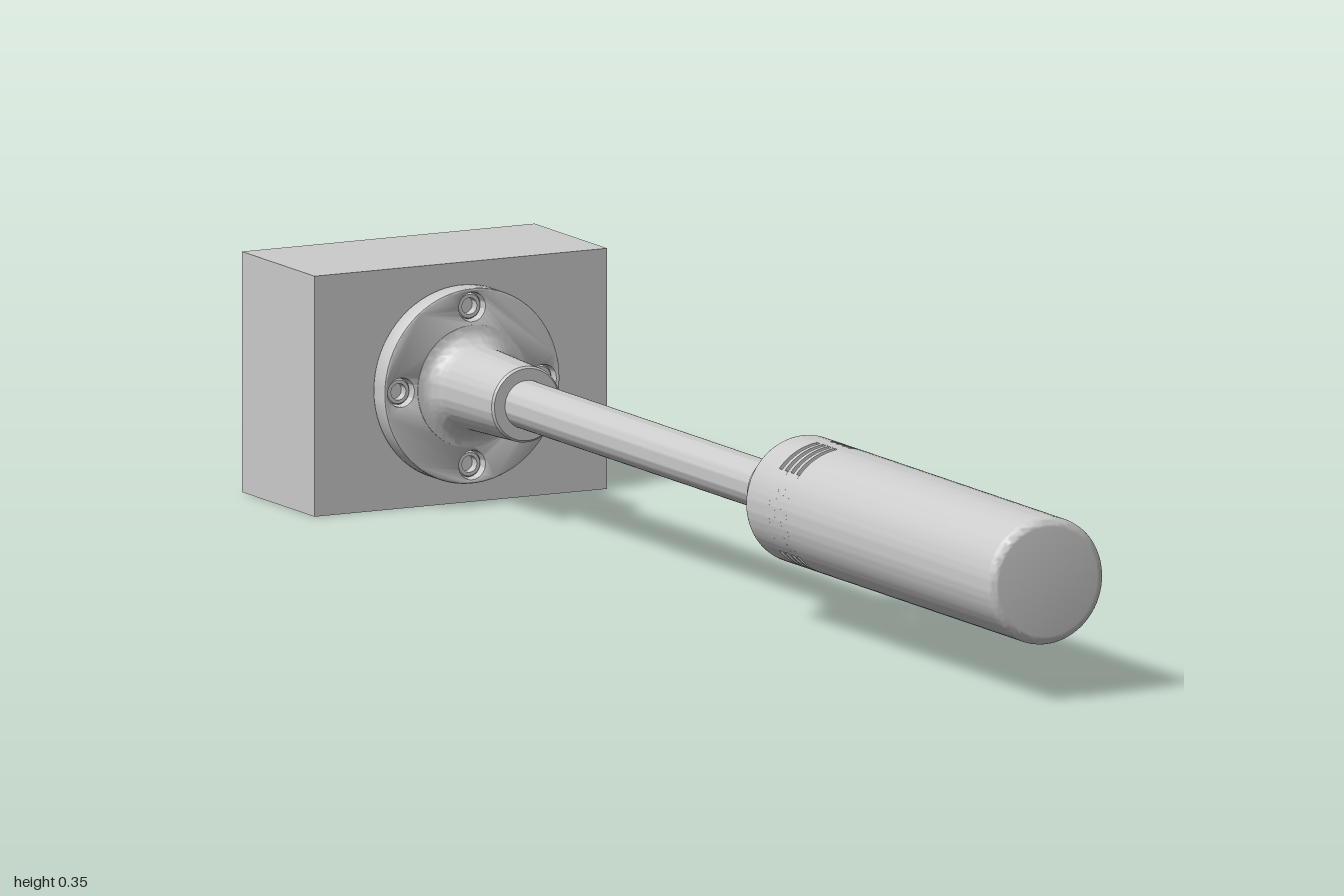
import * as THREE from 'three';
import { toCreasedNormals } from 'three/addons/utils/BufferGeometryUtils.js';

const material = new THREE.MeshStandardMaterial({ color: 0xcccccc });
const AXIS_Y = 0.174, R = 0.092, INNER = 0.08;
const rad = THREE.MathUtils.degToRad;

export function createModel() {
  const model = new THREE.Group();
  model.name = 'mallet';
  const axis = new THREE.Group();
  axis.name = 'handleAssembly';
  axis.position.y = AXIS_Y;
  model.add(axis);

  function add(name, geometry, parent = axis) {
    const mesh = new THREE.Mesh(geometry, material);
    mesh.name = name;
    parent.add(mesh);
    return mesh;
  }

  // Turned part about the z axis; profile points are [radius, z]
  function turned(name, points, segments = 96) {
    const profile = points.map(([r, z]) => new THREE.Vector2(r, z));
    const geometry = new THREE.LatheGeometry(profile, segments).rotateX(Math.PI / 2);
    return add(name, toCreasedNormals(geometry, rad(32)));
  }

  // Quarter-circle of profile points from angle a0 to a1 in degrees
  function arc(r, z, radius, a0, a1, n = 6) {
    return Array.from({ length: n + 1 }, (_, i) => {
      const a = rad(a0 + (a1 - a0) * i / n);
      return [r + radius * Math.cos(a), z + radius * Math.sin(a)];
    });
  }

  // Curved strip of the grip shell between two angles
  function shellStrip(name, a0, a1, z0, z1) {
    const shape = new THREE.Shape();
    shape.absarc(0, 0, R, rad(a0), rad(a1), false);
    shape.absarc(0, 0, INNER, rad(a1), rad(a0), true);
    const geometry = new THREE.ExtrudeGeometry(shape, { depth: z1 - z0, bevelEnabled: false, curveSegments: 24 });
    add(name, toCreasedNormals(geometry.translate(0, 0, z0), rad(32)));
  }

  // Block head
  const head = add('head', new THREE.BoxGeometry(0.47, 0.347, 0.22), model);
  head.position.set(0, 0.1735, -0.89);

  // Round flange with four counterbored screw holes
  const flange = new THREE.Shape();
  flange.absarc(0, 0, 0.138, 0, Math.PI * 2, false);
  const screwCentres = [0, 1, 2, 3].map(i => [0.114 * Math.cos(i * Math.PI / 2), 0.114 * Math.sin(i * Math.PI / 2)]);
  for (const [x, y] of screwCentres) {
    const hole = new THREE.Path();
    hole.absarc(x, y, 0.0235, 0, Math.PI * 2, true);
    flange.holes.push(hole);
  }
  const flangeGeometry = new THREE.ExtrudeGeometry(flange, {
    depth: 0.029, bevelThickness: 0.003, bevelSize: 0.003, bevelSegments: 2, curveSegments: 48
  }).translate(0, 0, -0.777);
  add('flange', toCreasedNormals(flangeGeometry, rad(32)));

  // Socket screws sunk in the flange
  for (const [x, y] of screwCentres) {
    const screw = turned('screw', [
      [0, -0.78], [0.019, -0.78], [0.019, -0.757], [0.017, -0.754],
      [0.012, -0.754], [0.012, -0.768], [0, -0.768]
    ], 32);
    screw.position.set(x, y, 0);
  }

  // Neck flaring into the flange
  turned('neck', [
    [0.088, -0.748], ...arc(0.088, -0.716, 0.028, 270, 180, 8),
    [0.055, -0.583], [0.052, -0.58], [0, -0.58]
  ]);

  // Shaft
  turned('shaft', [[0, -0.6], [0.035, -0.6], [0.035, 0.21], [0, 0.21]], 64);

  // Rear cap of the grip with its collar
  turned('gripCollar', [
    [0, 0.19], [0.053, 0.19], [0.056, 0.193], [0.056, 0.232],
    ...arc(0.074, 0.232, 0.018, 180, 90),
    ...arc(R - 0.012, 0.262, 0.012, -90, 0),
    [R, 0.318], [INNER, 0.318], [INNER, 0.275], [0, 0.275]
  ]);

  // Hollow main grip with a rounded end
  turned('grip', [
    [0, 0.975], [INNER, 0.975], [INNER, 0.38], [R, 0.38],
    ...arc(R - 0.013, 0.987, 0.013, 0, 90), [0, 1]
  ]);

  // Vented band: four slot levels above and below, parted by rings
  const slots = 4, slotWidth = 0.0095, ringWidth = 0.008;
  for (let i = 0; i < slots; i++) {
    const z0 = 0.318 + i * (slotWidth + ringWidth), z1 = z0 + slotWidth;
    for (const a of [0, 180]) {
      shellStrip('ventSide', a - 40, a + 40, z0, z1);
      shellStrip('ventRib', a + 84, a + 96, z0, z1);
    }
    if (i < slots - 1) {
      const z2 = z1 + ringWidth;
      turned('ventRing', [[INNER, z2], [INNER, z1], [R, z1], [R, z2], [INNER, z2]]);
    }
  }
  return model;
}
